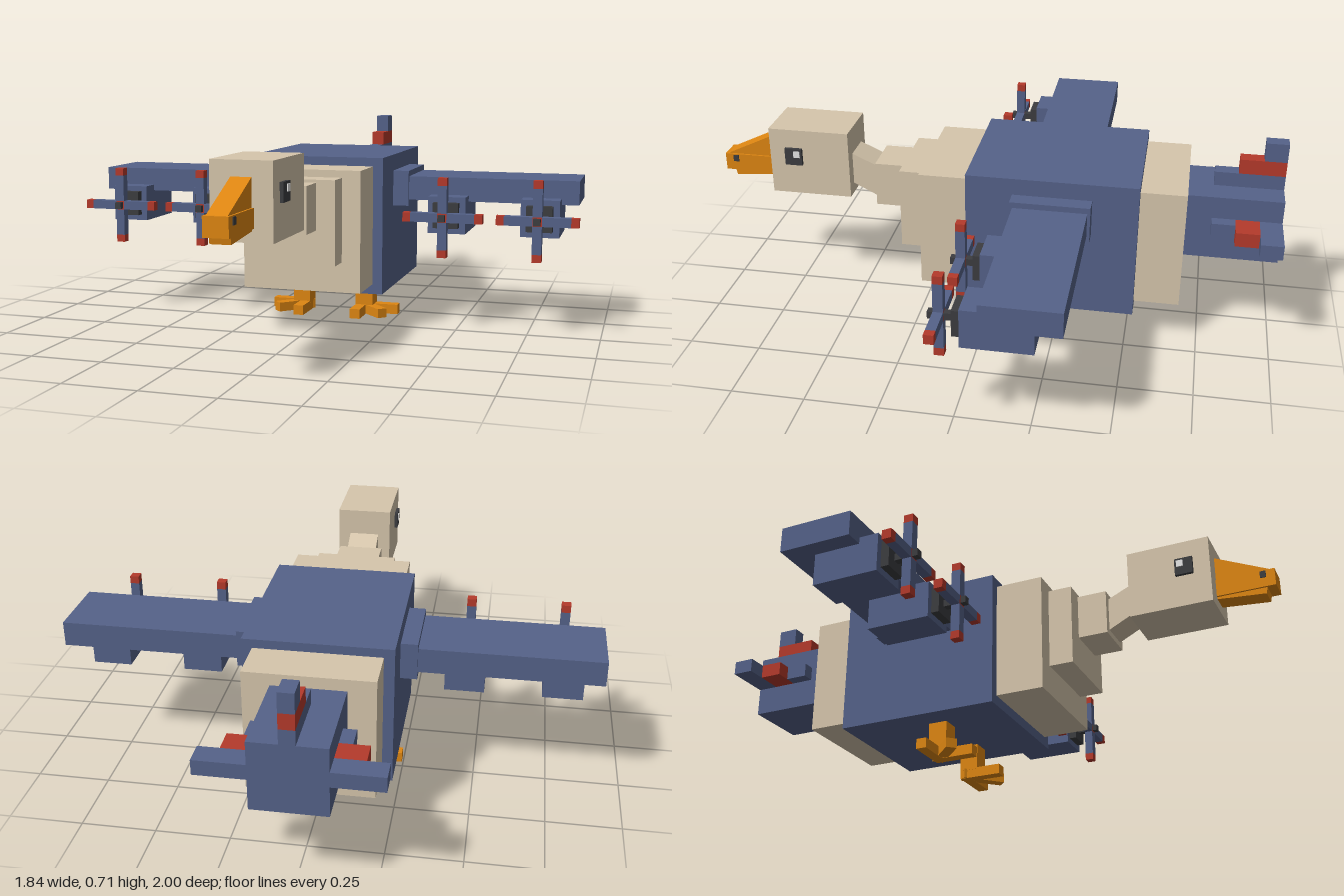
import * as THREE from 'three';

const mat = (name, color) => {
  const m = new THREE.MeshStandardMaterial({ color });
  m.name = name;
  return m;
};

export function createModel() {
  const blue = mat('slate blue', 0x556289);
  const cream = mat('cream', 0xd6c6ac);
  const orange = mat('orange', 0xde8612);
  const red = mat('red', 0xb53a2b);
  const dark = mat('dark grey', 0x3c3d40);
  const white = mat('white', 0xf0f0f0);

  const model = new THREE.Group();
  model.name = 'birdPlane';

  // Box given by its extents on each axis
  const box = (name, m, [x0, x1], [y0, y1], [z0, z1], parent = model) => {
    const mesh = new THREE.Mesh(new THREE.BoxGeometry(x1 - x0, y1 - y0, z1 - z0), m);
    mesh.position.set((x0 + x1) / 2, (y0 + y1) / 2, (z0 + z1) / 2);
    mesh.name = name;
    parent.add(mesh);
    return mesh;
  };
  // Box centred on x = 0
  const mid = (name, m, half, y, z) => box(name, m, [-half, half], y, z);
  // Side profile of [z, y] points, extruded across x
  const profile = (name, m, half, points) => {
    const shape = new THREE.Shape(points.map(p => new THREE.Vector2(...p)));
    const geo = new THREE.ExtrudeGeometry(shape, { depth: half * 2, bevelEnabled: false });
    geo.translate(0, 0, -half).rotateY(-Math.PI / 2);
    const mesh = new THREE.Mesh(geo, m);
    mesh.name = name;
    model.add(mesh);
  };

  // Body, chest steps and rump
  mid('body', blue, 0.245, [0.125, 0.61], [-0.525, 0.06]);
  mid('chest', cream, 0.21, [0.16, 0.58], [0.06, 0.23]);
  mid('breast', cream, 0.145, [0.265, 0.555], [0.23, 0.315]);
  mid('neckBase', cream, 0.08, [0.385, 0.545], [0.315, 0.42]);
  mid('rump', cream, 0.21, [0.16, 0.58], [-0.68, -0.525]);

  // Neck, head and beak
  profile('neck', cream, 0.055, [[0.41, 0.4], [0.52, 0.455], [0.52, 0.57], [0.41, 0.52]]);
  mid('head', cream, 0.1, [0.415, 0.66], [0.51, 0.8]);
  mid('beak', orange, 0.04, [0.458, 0.52], [0.8, 1.0]);
  profile('beakRidge', orange, 0.033, [[0.8, 0.52], [0.99, 0.52], [0.8, 0.61]]);
  profile('lowerBeak', orange, 0.033, [[0.8, 0.45], [0.965, 0.435], [0.97, 0.459], [0.8, 0.459]]);

  // Tail and stepped fin
  mid('tail', blue, 0.12, [0.31, 0.54], [-1, -0.68]);
  mid('finBase', blue, 0.025, [0.54, 0.59], [-1, -0.765]);
  mid('finStripe', red, 0.025, [0.59, 0.642], [-1, -0.845]);
  mid('finTip', blue, 0.025, [0.642, 0.708], [-1, -0.925]);

  for (const s of [1, -1]) {
    const side = s > 0 ? 'left' : 'right';
    // Box mirrored to the current side
    const pair = (name, m, [a, b], y, z, parent) =>
      box(side + name, m, s > 0 ? [a, b] : [-b, -a], y, z, parent);

    // Eye and nostril
    pair('Eye', dark, [0.1, 0.112], [0.53, 0.592], [0.68, 0.742]);
    pair('EyeGlint', white, [0.112, 0.115], [0.56, 0.584], [0.687, 0.71]);
    pair('Nostril', dark, [0.04, 0.043], [0.492, 0.516], [0.95, 0.97]);

    // Wing
    pair('WingRoot', blue, [0.245, 0.302], [0.425, 0.552], [-0.37, -0.1]);
    pair('Wing', blue, [0.302, 0.907], [0.447, 0.532], [-0.36, -0.11]);

    // Tailplane
    pair('TailplaneInner', blue, [0.12, 0.163], [0.412, 0.462], [-0.845, -0.765]);
    pair('TailplaneStripe', red, [0.12, 0.215], [0.412, 0.462], [-0.925, -0.845]);
    pair('TailplaneTip', blue, [0.12, 0.283], [0.412, 0.462], [-1, -0.925]);

    // Engines with four-bladed propellers
    for (const cx of [0.453, 0.78]) {
      const engine = new THREE.Group();
      engine.name = side + 'Engine';
      engine.position.set(s * cx, 0.405, 0);
      model.add(engine);
      box('nacelle', blue, [-0.067, 0.067], [-0.067, 0.064], [-0.27, -0.043], engine);
      box('intake', dark, [-0.045, 0.045], [-0.045, 0.045], [-0.043, -0.015], engine);
      box('shaft', dark, [-0.012, 0.012], [-0.012, 0.012], [-0.015, 0.066], engine);
      box('hub', red, [-0.016, 0.016], [-0.016, 0.016], [0.015, 0.047], engine);
      for (let i = 0; i < 4; i++) {
        const blade = new THREE.Group();
        blade.name = 'blade';
        blade.rotation.z = i * Math.PI / 2;
        box('bladeArm', blue, [-0.016, 0.016], [0.016, 0.113], [0.015, 0.047], blade);
        box('bladeTip', red, [-0.016, 0.016], [0.113, 0.14], [0.015, 0.047], blade);
        engine.add(blade);
      }
    }

    // Leg and three toes: forward, diagonal and outward
    pair('Leg', orange, [0.09, 0.156], [0.03, 0.125], [-0.225, -0.157]);
    for (let i = 0; i < 3; i++) {
      const toe = new THREE.Group();
      toe.name = side + 'Toe';
      toe.position.set(s * 0.11, 0, -0.205);
      toe.rotation.y = s * i * Math.PI / 4;
      const inset = i === 1 ? 0.001 : 0;
      box('toe', orange, [-0.019, 0.019], [inset, 0.036 - inset], [-0.019, 0.135], toe);
      model.add(toe);
    }
  }
  return model;
}
